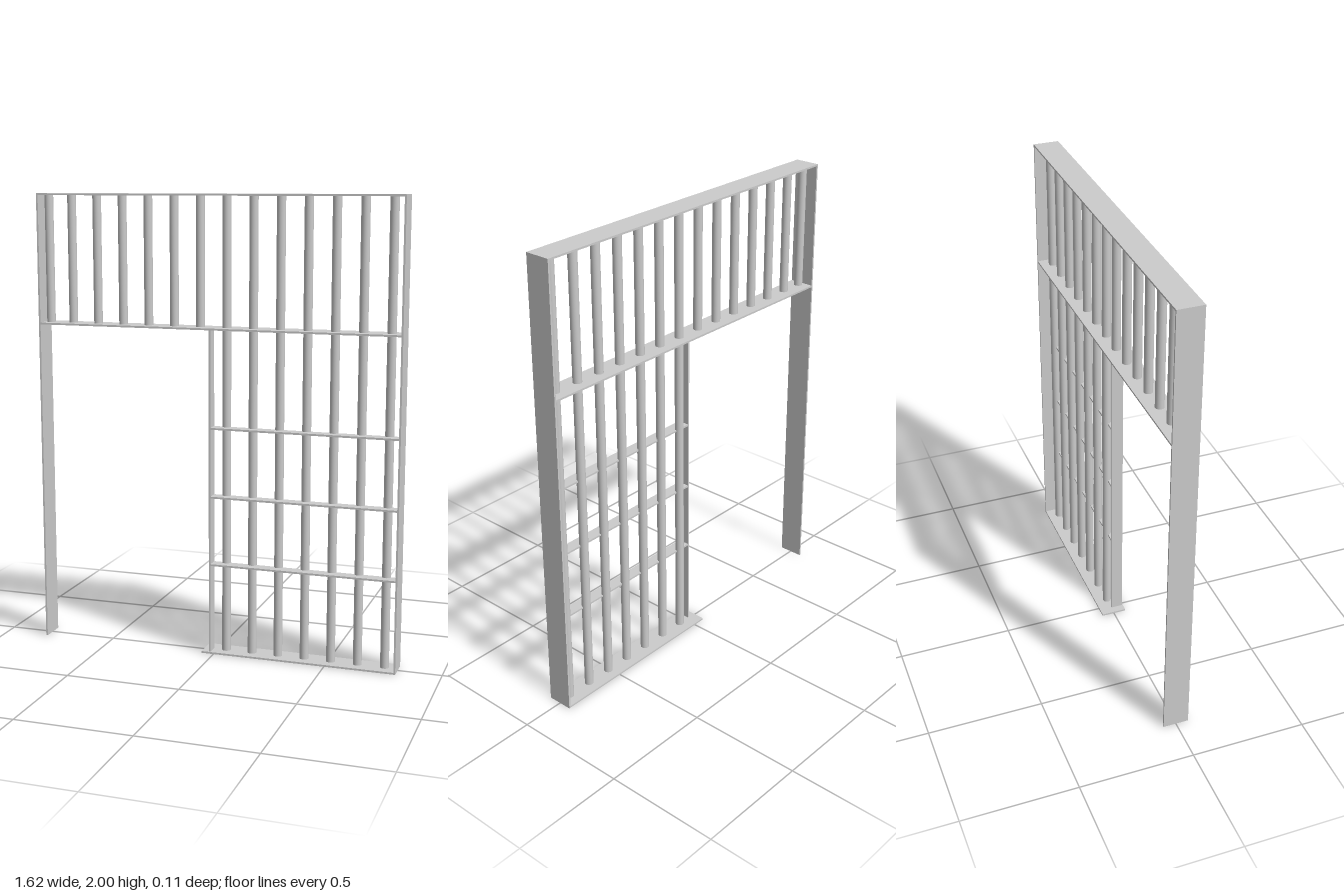
import * as THREE from 'three';

export function createModel() {
  const group = new THREE.Group();
  const material = new THREE.MeshStandardMaterial({ color: 0xcccccc });
  const T = 0.008, W = 0.81, D = 0.056, RAIL_Y = 1.435;

  // Flat plate given by its min and max on each axis
  function plate(name, x0, x1, y0, y1, z0 = -D, z1 = D) {
    const mesh = new THREE.Mesh(new THREE.BoxGeometry(x1 - x0, y1 - y0, z1 - z0), material);
    mesh.position.set((x0 + x1) / 2, (y0 + y1) / 2, (z0 + z1) / 2);
    mesh.name = name;
    group.add(mesh);
  }

  // Round vertical bar
  function bar(name, x, y0, y1) {
    const mesh = new THREE.Mesh(new THREE.CylinderGeometry(0.019, 0.019, y1 - y0, 24), material);
    mesh.position.set(x, (y0 + y1) / 2, 0);
    mesh.name = name;
    group.add(mesh);
  }

  // Outer frame
  plate('rightPost', -W, -W + T, 0, 2);
  plate('leftPost', W - T, W, 0, 2);
  plate('topRail', -W + T, W - T, 2 - T, 2);
  plate('middleRail', -W + T, W - T, RAIL_Y - T / 2, RAIL_Y + T / 2);
  plate('bottomRail', -0.055, W - T, 0, T);

  // Narrow post beside the doorway and cross strips, in the front half of the frame
  plate('doorPost', -0.022, -0.014, T, RAIL_Y - T / 2, 0, 0.052);
  for (const y of [0.404, 0.706, 1.008]) {
    plate('crossStrip', -0.022, W - T, y - T / 2, y + T / 2, 0, 0.052);
  }

  // Bars: a full row above, and below only beside the doorway
  for (let i = 0; i < 14; i++) {
    const x = i === 0 ? -0.775 : -0.667 + (i - 1) * 0.1183;
    bar('upperBar', x, RAIL_Y + T / 2, 2 - T);
    if (i >= 7) bar('lowerBar', x, T, RAIL_Y - T / 2);
  }

  return group;
}
